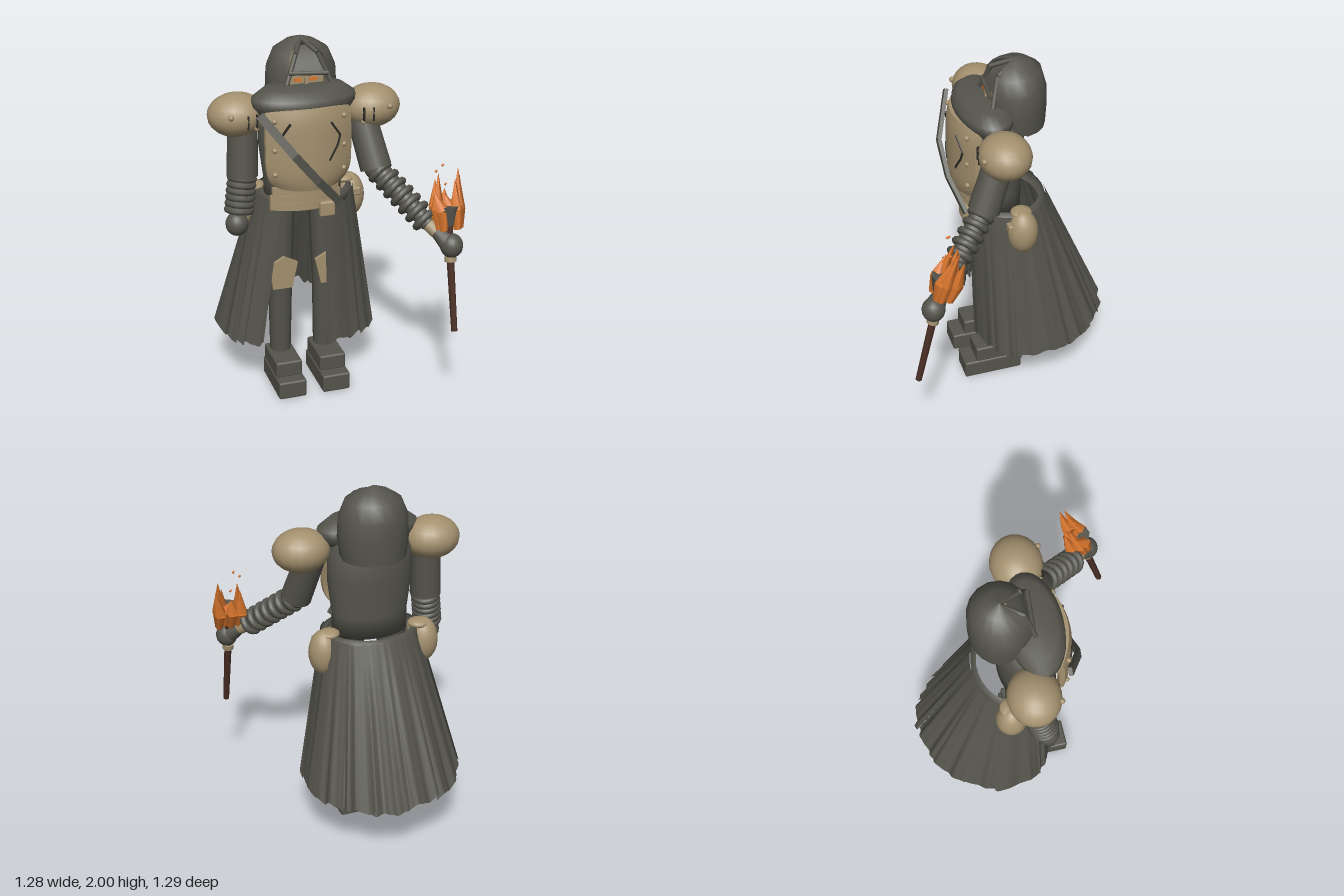
import * as THREE from 'three';
import { RoundedBoxGeometry } from 'three/addons/geometries/RoundedBoxGeometry.js';

const V = (x, y, z) => new THREE.Vector3(x, y, z);
const material = (name, color, side = THREE.FrontSide) => {
  const m = new THREE.MeshStandardMaterial({ color, side });
  m.name = name;
  return m;
};

export function createModel() {
  const root = new THREE.Group();
  root.name = 'torchBearer';
  const cloth = material('charcoalCloth', 0x55544c, THREE.DoubleSide);
  const tan = material('tanArmour', 0xa4916f);
  const black = material('blackTrim', 0x2b2a27);
  const orange = material('orangeFlame', 0xdb772e);
  const wood = material('brownWood', 0x4a2f25);

  const add = (name, geo, mat, x = 0, y = 0, z = 0) => {
    const m = new THREE.Mesh(geo, mat);
    m.name = name;
    m.position.set(x, y, z);
    root.add(m);
    return m;
  };
  const box = (name, mat, w, h, d, x, y, z) => add(name, new THREE.BoxGeometry(w, h, d), mat, x, y, z);
  const ball = (name, mat, x, y, z, rx, ry = rx, rz = rx, s = 20) => {
    const m = add(name, new THREE.SphereGeometry(1, s, Math.ceil(s * 0.6)), mat, x, y, z);
    m.scale.set(rx, ry, rz);
    return m;
  };
  // Tapered cylinder from a to b
  const limb = (name, mat, a, b, r0, r1, sides = 14) => {
    const d = b.clone().sub(a);
    const m = add(name, new THREE.CylinderGeometry(r1, r0, d.length(), sides), mat);
    m.position.copy(a).add(b).multiplyScalar(0.5);
    m.quaternion.setFromUnitVectors(V(0, 1, 0), d.normalize());
    return m;
  };
  // Flat bar from a to b, broad side facing forward
  const bar = (name, mat, a, b, w, t) => {
    const m = box(name, mat, w, t, a.distanceTo(b), 0, 0, 0);
    m.position.copy(a).add(b).multiplyScalar(0.5);
    m.up.set(0, 0, 1);
    m.lookAt(b);
    return m;
  };
  // Open sheet over a (u, v) grid
  const sheet = (name, mat, nu, nv, point) => {
    const pos = [], idx = [];
    for (let j = 0; j <= nv; j++)
      for (let i = 0; i <= nu; i++) pos.push(...point(i / nu, j / nv).toArray());
    for (let j = 0; j < nv; j++)
      for (let i = 0; i < nu; i++) {
        const a = j * (nu + 1) + i, b = a + nu + 1;
        idx.push(a, a + 1, b, a + 1, b + 1, b);
      }
    const g = new THREE.BufferGeometry();
    g.setAttribute('position', new THREE.Float32BufferAttribute(pos, 3));
    g.setIndex(idx);
    g.computeVertexNormals();
    return add(name, g, mat);
  };
  const lathe = (name, mat, pts, x, z, zScale) => {
    const m = add(name, new THREE.LatheGeometry(pts.map(p => new THREE.Vector2(...p)), 32), mat, x, 0, z);
    m.scale.z = zScale;
    return m;
  };

  // Torso, mantle and belt
  lathe('torso', cloth, [[0, 1.12], [0.215, 1.13], [0.215, 1.25], [0.24, 1.45], [0.235, 1.62], [0.17, 1.72], [0, 1.74]], -0.13, 0.0, 0.66);
  lathe('mantle', cloth, [[0, 1.62], [0.2, 1.625], [0.255, 1.645], [0.288, 1.695], [0.282, 1.73], [0.215, 1.78], [0, 1.78]], -0.137, 0.055, 0.53);
  lathe('belt', cloth, [[0.235, 1.115], [0.268, 1.12], [0.268, 1.165], [0.235, 1.175]], -0.11, -0.05, 0.84);
  for (const [y, w, h] of [[1.232, 0.37, 0.045], [1.19, 0.39, 0.036], [1.148, 0.39, 0.044]]) {
    const g = new THREE.BoxGeometry(w, h, 0.02, 12, 1, 1), p = g.attributes.position;
    for (let i = 0; i < p.count; i++) p.setZ(i, p.getZ(i) - 1.5 * p.getX(i) ** 2);
    g.computeVertexNormals();
    add('waistPlate', g, tan, -0.155, y, 0.188);
  }

  // Curved breastplate with rounded corners
  const plateZ = u => 0.232 - 0.08 * u * u;
  const pg = new THREE.BoxGeometry(2, 2, 0.03, 16, 16, 1), pp = pg.attributes.position;
  for (let i = 0; i < pp.count; i++) {
    const u = pp.getX(i), v = pp.getY(i);
    pp.setXYZ(i, u * 0.235 * (1 - 0.16 * Math.max(0, -v) ** 4 - 0.03 * Math.max(0, v) ** 4),
      v * 0.225 * (1 - 0.1 * u ** 4), plateZ(u) + pp.getZ(i) - 0.02 * v ** 4);
  }
  pg.computeVertexNormals();
  add('breastplate', pg, tan, -0.142, 1.472, 0);
  for (const u of [-0.82, 0.78]) for (const y of [1.64, 1.48, 1.345])
    ball('breastplateRivet', tan, -0.142 + u * 0.235, y, plateZ(u) + 0.012, 0.015, 0.015, 0.015, 10);
  const grooves = [[[-0.26, 1.63], [-0.31, 1.55], [-0.22, 1.42], [-0.17, 1.4]], [[-0.04, 1.62], [0.015, 1.54], [0.0, 1.49], [-0.05, 1.41]]];
  for (const line of grooves) for (let i = 0; i < 3; i++) {
    const [a, b] = [line[i], line[i + 1]].map(([x, y]) => V(x, y, plateZ((x + 0.142) / 0.235) + 0.015));
    bar('breastplateGroove', black, a, b, 0.011, 0.009);
  }

  // Diagonal strap and buckle
  const strap = [V(-0.41, 1.68, 0.18), V(-0.25, 1.47, 0.27), V(-0.12, 1.31, 0.26), V(0.02, 1.15, 0.2)];
  for (let i = 0; i < 3; i++) bar('chestStrap', cloth, strap[i], strap[i + 1], 0.045, 0.022);
  add('buckle', new RoundedBoxGeometry(0.085, 0.085, 0.04, 2, 0.01), tan, -0.05, 1.12, 0.19);

  // Hood: wraps the back of the head and stays open at the front
  const rows = [[2.0, 0.005, 0.005], [1.975, 0.08, 0.085], [1.93, 0.15, 0.145], [1.84, 0.188, 0.17], [1.73, 0.194, 0.172], [1.61, 0.18, 0.166]];
  sheet('hood', cloth, 14, 5, (u, v) => {
    const [y, rx, rz] = rows[Math.round(v * 5)], a = (u * 2 - 1) * 2.5;
    const front = Math.max(0, -Math.cos(a));
    const lift = v > 0.9 ? 0.1 * front : 0;
    return V(-0.103 + rx * Math.sin(a), y + lift - 0.01 * front, -0.107 - rz * Math.cos(a));
  });
  const apex = V(-0.1, 1.985, -0.12);
  for (const x of [-0.225, 0.02]) {
    const brow = V((x - 0.1) / 2, 1.93, 0.0);
    limb('hoodRim', cloth, apex, brow, 0.013, 0.013, 8);
    limb('hoodRim', cloth, brow, V(x, 1.78, 0.045), 0.013, 0.013, 8);
  }
  // Head under a dark brow, leaving a slit for the eyes
  sheet('browCloth', cloth, 4, 3, (u, v) => {
    const half = 0.035 + 0.075 * v;
    return V(-0.102 + (u * 2 - 1) * half, 1.955 - 0.12 * v, -0.075 + 0.108 * Math.sqrt(v));
  });
  limb('hoodCrossbar', cloth, V(-0.21, 1.84, 0.035), V(0.0, 1.83, 0.05), 0.012, 0.012, 8);
  ball('head', tan, -0.1, 1.81, -0.09, 0.075, 0.14, 0.075);
  add('faceMask', new RoundedBoxGeometry(0.19, 0.07, 0.03, 2, 0.01), tan, -0.11, 1.798, 0.02);
  for (const x of [-0.16, -0.075]) box('eye', orange, 0.042, 0.018, 0.009, x, 1.802, 0.038);
  box('noseGuard', tan, 0.018, 0.05, 0.02, -0.117, 1.79, 0.04);

  // Shoulder pads with rivets and slits
  for (const [x, z, s] of [[-0.482, -0.02, -1], [0.243, 0.05, 1]]) {
    ball('shoulderPad', tan, x, 1.628, z, 0.158, 0.118, 0.14);
    ball('padRivet', tan, x + s * 0.06, 1.655, z + 0.128, 0.016, 0.016, 0.016, 10);
    ball('padRivet', tan, x - s * 0.08, 1.575, z + 0.11, 0.013, 0.013, 0.013, 10);
    for (const k of [0.03, 0.08]) box('padSlit', black, 0.009, 0.075, 0.03, x - s * k, 1.62, z + 0.125 - k * 0.15);
  }

  // Arms: tapered sleeves, ribbed forearms, fists
  const arm = (shoulder, elbow, wrist, hand, ribs, ribR) => {
    limb('upperArm', cloth, shoulder, elbow, 0.08, 0.086, 18);
    ball('elbow', cloth, elbow.x, elbow.y, elbow.z, 0.066);
    limb('forearm', cloth, elbow, wrist, 0.06, 0.042);
    const dir = wrist.clone().sub(elbow).normalize();
    for (let i = 0; i < ribs; i++) {
      const ring = add('forearmRib', new THREE.TorusGeometry(ribR, 0.02, 8, 20), cloth);
      ring.position.lerpVectors(elbow, wrist, 0.08 + i * 0.84 / (ribs - 1));
      ring.quaternion.setFromUnitVectors(V(0, 0, 1), dir);
    }
    const cuffEnd = wrist.clone().lerp(hand, 0.35);
    limb('wristCuff', tan, wrist, cuffEnd, 0.038, 0.038);
    limb('handBack', cloth, cuffEnd, hand, 0.035, 0.06);
    ball('fist', cloth, hand.x, hand.y, hand.z, 0.062, 0.067, 0.062);
  };
  arm(V(-0.45, 1.6, -0.02), V(-0.465, 1.29, 0.0), V(-0.5, 1.09, 0.04), V(-0.515, 1.035, 0.055), 6, 0.062);
  arm(V(0.18, 1.6, 0.05), V(0.235, 1.31, 0.165), V(0.44, 1.06, 0.43), V(0.535, 0.965, 0.53), 7, 0.057);

  // Torch, leaning forward at its foot
  const torch = (y, x = 0.53, dz = 0) => V(x, y, 0.625 - (y - 0.5) * 0.235 + dz);
  limb('torchHandle', wood, torch(0.5), torch(1.1), 0.018, 0.024, 8);
  limb('torchCollar', tan, torch(0.875), torch(0.905), 0.032, 0.032);
  limb('torchCup', cloth, torch(1.07, 0.53, 0.012), torch(1.17, 0.53, 0.012), 0.026, 0.056, 8);
  const flames = [[-0.055, 0.0, 1.33, -0.03], [0.06, 0.01, 1.35, 0.08], [-0.04, 0.03, 1.25, -0.065], [0.07, -0.04, 1.3, 0.1],
    [0.0, -0.045, 1.24, 0.01], [0.04, 0.03, 1.3, 0.055], [-0.05, -0.05, 1.29, -0.04], [0.02, -0.01, 1.22, 0.0]];
  for (const [x, z, top, tip] of flames) {
    const mid = torch(1.15, 0.53 + x, z - 0.01);
    limb('flame', orange, mid, torch(top, 0.53 + tip, z * 0.6 - 0.03), 0.038, 0.001, 5);
    limb('flameRoot', orange, torch(1.05, 0.53 + x * 0.95, z * 0.8), mid, 0.022, 0.038, 5);
  }
  for (const [x, y] of [[0.475, 1.36], [0.51, 1.39], [0.53, 1.28]])
    add('spark', new THREE.OctahedronGeometry(0.01), orange, x, y, 0.43);

  // Side pouches
  for (const [x, z, s] of [[0.165, -0.075, 1], [-0.4, -0.12, -1]]) {
    ball('pouch', tan, x, 1.07, z, 0.085, 0.13, 0.085);
    ball('pouchNeck', tan, x - s * 0.03, 1.175, z, 0.06, 0.025, 0.06, 12);
    add('pouchFlap', new RoundedBoxGeometry(0.1, 0.05, 0.03, 2, 0.01), tan, x - s * 0.01, 1.115, z + 0.075);
    ball('pouchButton', tan, x - s * 0.03, 1.11, z + 0.095, 0.012, 0.012, 0.012, 8);
  }

  // Legs, knee plates and stepped boots
  for (const x of [-0.262, -0.005]) {
    limb('leg', cloth, V(x, 0.15, -0.02), V(x, 0.65, -0.005), 0.058, 0.068, 10);
    limb('thigh', cloth, V(x, 0.65, -0.005), V(x + (x < -0.1 ? 0.01 : -0.01), 1.17, -0.01), 0.068, 0.08, 10);
    add('bootSole', new RoundedBoxGeometry(0.16, 0.105, 0.34, 2, 0.012), cloth, x, 0.053, 0.065);
    add('bootUpper', new RoundedBoxGeometry(0.15, 0.095, 0.255, 2, 0.012), cloth, x, 0.147, 0.037);
    const m = x < -0.1 ? 1 : -1;
    const pts = [[-0.065, 0], [0.045, 0], [0.078, 0.15], [0.0, 0.19], [-0.055, 0.16], [-0.075, 0.08]];
    const k = new THREE.Shape(pts.map(([px, py]) => new THREE.Vector2(px * m, py)));
    add('kneePlate', new THREE.ExtrudeGeometry(k, { depth: 0.02, bevelEnabled: false }), tan, x, 0.62, 0.066);
  }

  // Coat skirt: pleated panels around the waist, angles in degrees from the back
  const panels = [[-140, -106], [-110, -69], [-74, -45], [-50, -23], [-28, 1], [-1, 27], [22, 47], [42, 68], [63, 98], [93, 131], [127, 168]];
  panels.forEach(([a0, a1], n) => {
    sheet('skirtPanel', cloth, 20, 8, (u, t) => {
      const a = THREE.MathUtils.degToRad(a0 + (a1 - a0) * u), s = Math.sin(a), c = Math.cos(a);
      const flare = Math.min(1, 3 * Math.max(0, c));
      const wave = Math.cos(u * Math.PI * 4 + n) + 0.5 * Math.cos(u * Math.PI * 7 + n * 2);
      const pleat = t * 0.007 * wave + (n % 2) * 0.01;
      const rx = THREE.MathUtils.lerp(0.265, s < 0 ? 0.435 + 0.06 * flare : 0.392 + 0.045 * flare, t) + pleat;
      const rz = THREE.MathUtils.lerp(0.22, c > 0 ? 0.575 : 0.208, t) + pleat * (c > 0 ? 1 : 0.5);
      const hem = 0.275 + 0.035 * Math.max(0, c) + (s < 0 ? 0.02 : 0) + 0.014 * wave;
      return V(-0.11 + rx * s, THREE.MathUtils.lerp(1.168, hem, t), -0.05 - rz * c);
    });
  });
  return root;
}
